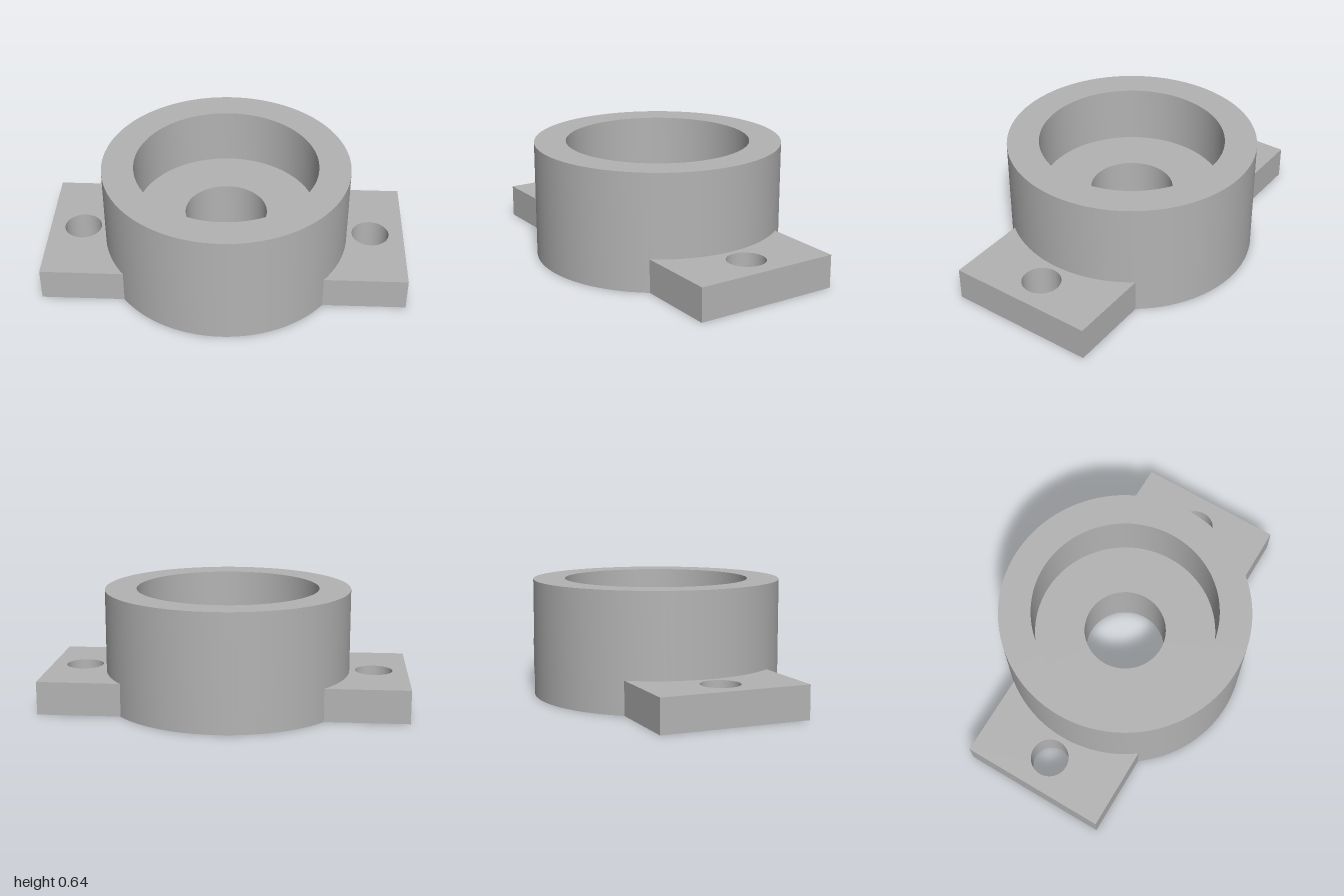
import * as THREE from 'three';
import { toCreasedNormals } from 'three/addons/utils/BufferGeometryUtils.js';

const R = 0.68, HEIGHT = 0.64;          // round housing
const BORE = 0.228, POCKET = 0.506, FLOOR = 0.32;
const EAR_HALF = 0.408, EAR_H = 0.182;  // mounting ears

export function createModel() {
  const group = new THREE.Group();
  group.name = 'flangedBearingHousing';
  const metal = new THREE.MeshStandardMaterial({ color: 0xb3b3b3 });
  metal.name = 'plain grey';

  // Round housing: closed profile with counterbored pocket and through bore
  const profile = [
    [BORE, 0], [R, 0], [R, HEIGHT], [POCKET, HEIGHT],
    [POCKET, FLOOR], [BORE, FLOOR], [BORE, 0],
  ].map(([x, y]) => new THREE.Vector2(x, y));
  const housing = new THREE.Mesh(
    toCreasedNormals(new THREE.LatheGeometry(profile, 96), 0.6), metal);
  housing.name = 'housing';
  group.add(housing);

  // Ear outline: flat outer end, inner side curved to sit just inside the housing wall
  const inner = R - 0.005;
  const angle = Math.asin(EAR_HALF / inner);
  const outline = new THREE.Shape();
  outline.moveTo(inner * Math.cos(angle), -EAR_HALF);
  outline.lineTo(1, -EAR_HALF);
  outline.lineTo(1, EAR_HALF);
  outline.lineTo(inner * Math.cos(angle), EAR_HALF);
  outline.absarc(0, 0, inner, angle, -angle, true);
  const hole = new THREE.Path();
  hole.absarc(0.815, 0, 0.104, 0, Math.PI * 2, true);
  outline.holes.push(hole);

  const earGeometry = toCreasedNormals(
    new THREE.ExtrudeGeometry(outline, { depth: EAR_H, bevelEnabled: false, curveSegments: 48 })
      .rotateX(-Math.PI / 2), 0.6);

  // The two ears are half a turn apart
  ['leftEar', 'rightEar'].forEach((name, i) => {
    const ear = new THREE.Mesh(earGeometry, metal);
    ear.name = name;
    ear.rotation.y = i * Math.PI;
    group.add(ear);
  });

  return group;
}
